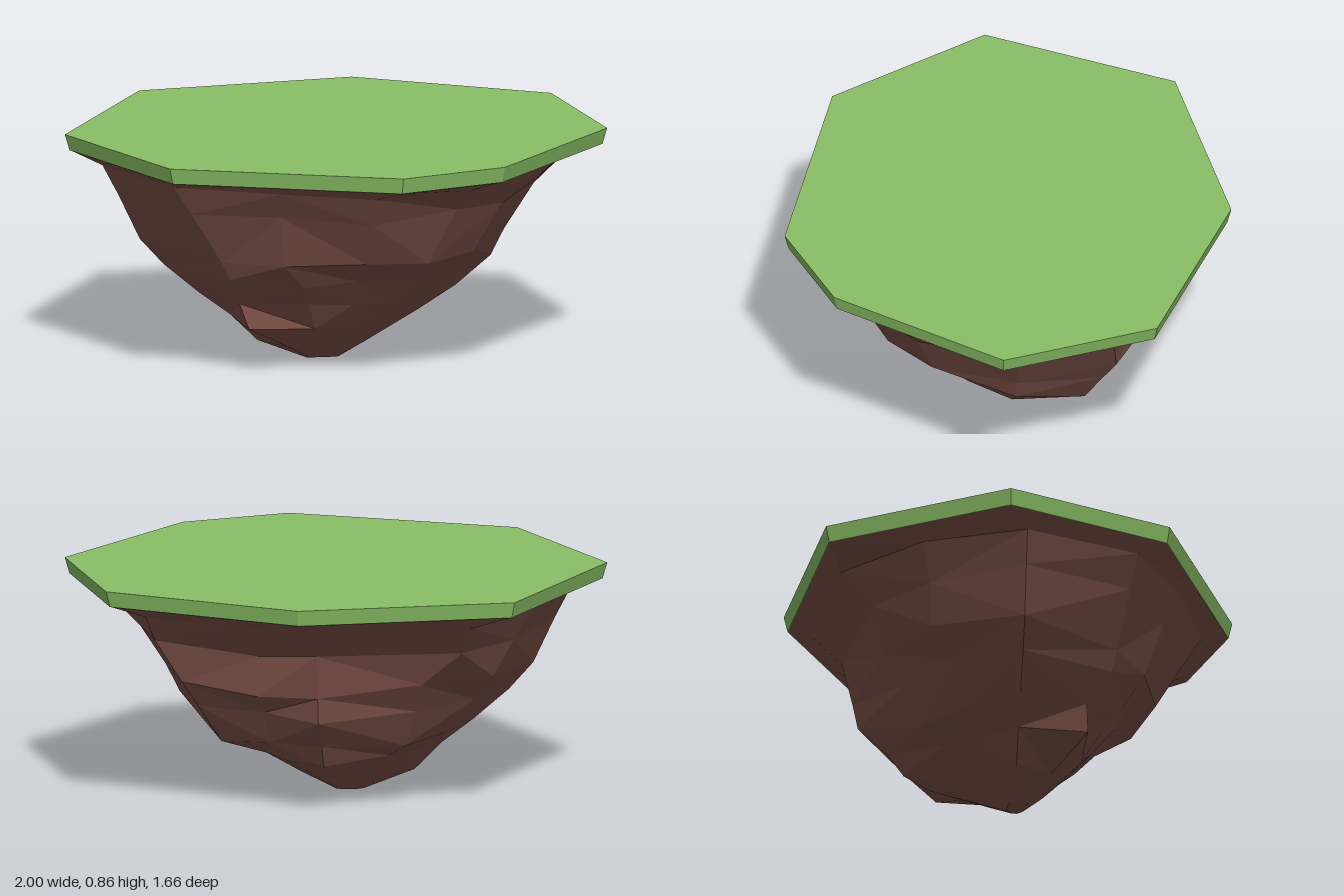
import * as THREE from 'three';

// Eight corners of the island plateau, as [x, z], from the left side round by the front
const OUTLINE = [
  [1, 0.13], [0.53, 0.70], [0.13, 0.83], [-0.70, 0.54],
  [-1, -0.07], [-0.62, -0.73], [0.19, -0.83], [0.88, -0.46],
];

// Directions of the twelve rock columns, in degrees from +x towards +z
const ANGLES = [3, 30, 57, 86, 115, 146, 180, 207, 235, 280, 305, 330];

// Rock cross-sections: height, roughness and the radius along each direction
const LEVELS = [
  { y: 0.755, rough: 0.4, r: [0.86, 0.80, 0.76, 0.71, 0.68, 0.78, 0.87, 0.80, 0.80, 0.74, 0.74, 0.83] },
  { y: 0.64, rough: 1, r: [0.74, 0.67, 0.64, 0.64, 0.61, 0.70, 0.81, 0.73, 0.69, 0.63, 0.63, 0.74] },
  { y: 0.47, rough: 1, r: [0.63, 0.57, 0.54, 0.54, 0.54, 0.62, 0.73, 0.63, 0.58, 0.59, 0.59, 0.68] },
  { y: 0.37, rough: 0.8, r: [0.58, 0.48, 0.42, 0.39, 0.43, 0.55, 0.64, 0.54, 0.50, 0.57, 0.53, 0.60] },
  { y: 0.26, rough: 0.8, r: [0.45, 0.36, 0.31, 0.30, 0.36, 0.48, 0.51, 0.43, 0.41, 0.46, 0.44, 0.49] },
  { y: 0.17, rough: 0.4, r: [0.31, 0.25, 0.22, 0.22, 0.28, 0.44, 0.39, 0.31, 0.32, 0.40, 0.35, 0.31] },
  { y: 0.07, rough: 0.2, r: [0.14, 0.12, 0.11, 0.12, 0.15, 0.24, 0.29, 0.20, 0.14, 0.13, 0.13, 0.14] },
];

function seeded(seed) {
  return () => {
    seed = (seed * 16807) % 2147483647;
    return seed / 2147483647;
  };
}

// Closed faceted solid through rings of points, listed from top to bottom
function loft(rings, flip = () => false) {
  const pos = [];
  const tri = (...pts) => pts.forEach((p) => pos.push(p.x, p.y, p.z));
  const n = rings[0].length;
  const centre = (ring) =>
    ring.reduce((s, p) => s.add(p), new THREE.Vector3()).divideScalar(n);
  const top = rings[0], bottom = rings[rings.length - 1];
  const topMid = centre(top), bottomMid = centre(bottom);
  for (let j = 0; j < n; j++) {
    const k = (j + 1) % n;
    tri(topMid, top[k], top[j]);
    tri(bottomMid, bottom[j], bottom[k]);
    for (let i = 0; i < rings.length - 1; i++) {
      const a = rings[i][j], b = rings[i][k], c = rings[i + 1][k], d = rings[i + 1][j];
      if (flip()) { tri(a, b, d); tri(b, c, d); }
      else { tri(a, b, c); tri(a, c, d); }
    }
  }
  const geometry = new THREE.BufferGeometry();
  geometry.setAttribute('position', new THREE.Float32BufferAttribute(pos, 3));
  geometry.computeVertexNormals();
  return geometry;
}

const outlineRing = (y, s) => OUTLINE.map(([x, z]) => new THREE.Vector3(x * s, y, z * s));

// Grass slab, slightly narrower at its underside
function grassGeometry() {
  return loft([outlineRing(0.86, 1), outlineRing(0.80, 0.983)]);
}

// Craggy underside, hung from the slab's lower rim
function rockGeometry() {
  const rand = seeded(9071);

  // Rim: the eight corners plus the middle of every other edge
  const corners = outlineRing(0.80, 0.98);
  const rim = corners.flatMap((p, i) =>
    i % 2 ? [p] : [p, p.clone().lerp(corners[i + 1], 0.5)]);

  const body = LEVELS.map(({ y, rough, r }) => r.map((radius, j) => {
    // The four main directions keep their exact profile
    const loose = j % 3 ? rough : 0;
    const angle = THREE.MathUtils.degToRad(ANGLES[j] + (rand() - 0.5) * 10 * loose);
    const reach = radius * (1 + (rand() - 0.5) * 0.08 * loose);
    return new THREE.Vector3(
      reach * Math.cos(angle), y + (rand() - 0.5) * 0.06 * loose, reach * Math.sin(angle));
  }));

  // Small blunt tip
  const tip = ANGLES.map((deg) => {
    const angle = THREE.MathUtils.degToRad(deg);
    const z = 0.02 + 0.04 * Math.sin(angle);
    return new THREE.Vector3(-0.05 + 0.06 * Math.cos(angle), 0.2 * Math.max(0, z - 0.01), z);
  });
  return loft([rim, ...body, tip], () => rand() < 0.5);
}

export function createModel() {
  const island = new THREE.Group();
  island.name = 'floatingIsland';
  const add = (name, geometry, color) => {
    const mesh = new THREE.Mesh(
      geometry, new THREE.MeshStandardMaterial({ color, flatShading: true }));
    mesh.name = name;
    island.add(mesh);
  };
  add('grassTop', grassGeometry(), 0x89bf65);
  add('rockUnderside', rockGeometry(), 0x7c5147);
  return island;
}
